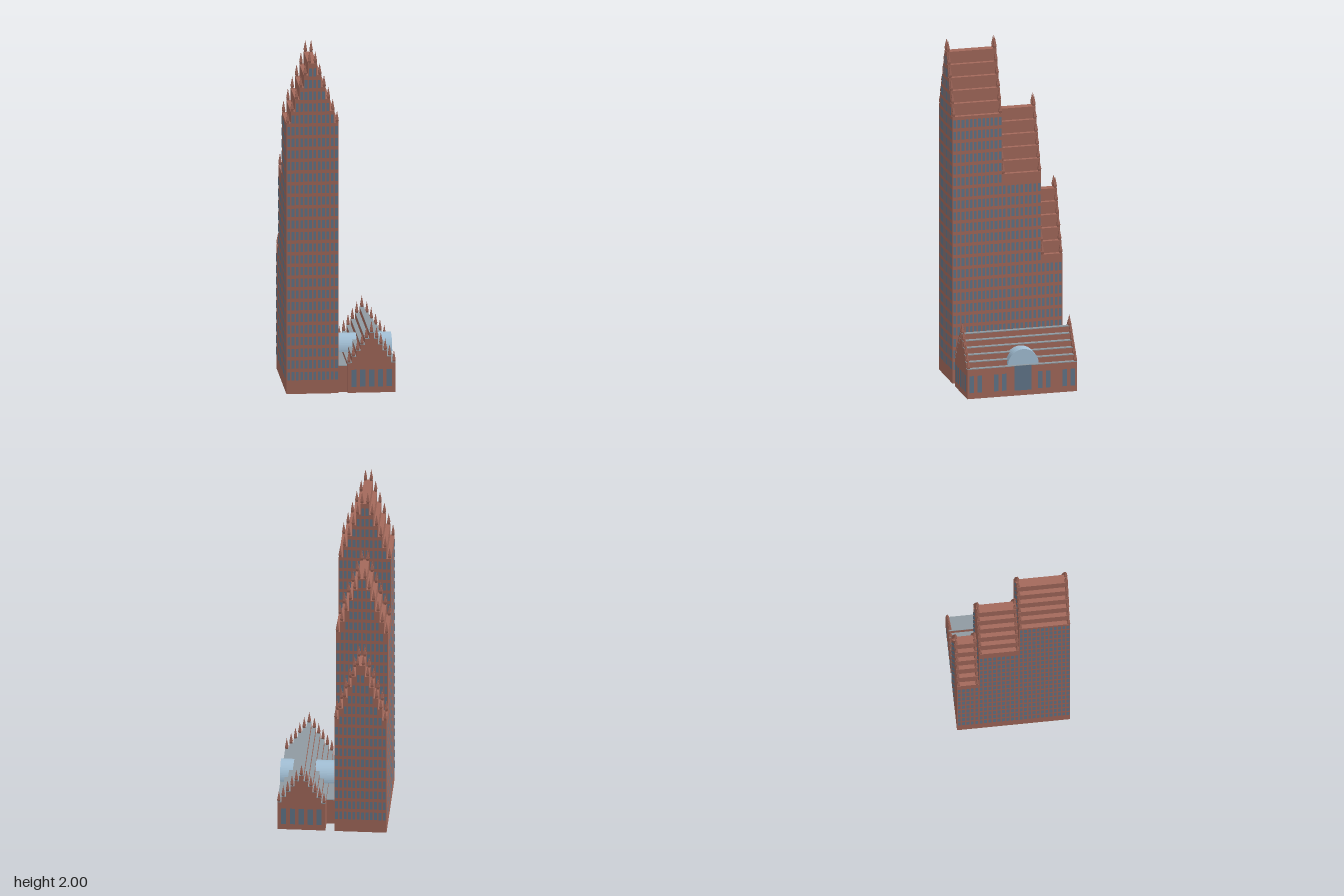
import * as THREE from 'three';
import { mergeGeometries } from 'three/addons/utils/BufferGeometryUtils.js';

const mat = (name, color) => Object.assign(new THREE.MeshStandardMaterial({ color, flatShading: true }), { name });

export function createModel() {
  const brick = mat('brick', 0xa3695b);
  const windowBlue = mat('window blue', 0x62778b);
  const slate = mat('slate roof', 0x8f9aa1);
  const glass = mat('vault glass', 0xa3c0d6);
  glass.side = THREE.DoubleSide;

  const model = new THREE.Group();
  model.name = 'steppedGableTower';
  const add = (parent, name, geometry, material) => {
    const mesh = new THREE.Mesh(geometry, material);
    mesh.name = name;
    parent.add(mesh);
    return mesh;
  };
  const STEPS = 6;

  // Box-like body whose top climbs in steps towards the ridge
  function steppedBody({ cx, half, run, eave, rise, z0, z1 }) {
    const right = [];
    for (let i = 0; i < STEPS; i++) {
      const w = half - run * i;
      right.push([w, i ? eave + rise * (i - 1) : 0], [w, eave + rise * i]);
    }
    const left = right.map(([x, y]) => [-x, y]).reverse();
    const shape = new THREE.Shape([...right, ...left].map(([x, y]) => new THREE.Vector2(x, y)));
    const geo = new THREE.ExtrudeGeometry(shape, { depth: z1 - z0, bevelEnabled: false });
    return geo.translate(cx, 0, z0);
  }

  // Pointed pinnacles on every step at both gable ends
  function pinnacles({ cx, half, run, eave, rise, z0, z1 }) {
    const r = 0.0092 * Math.SQRT2, parts = [];
    for (const z of [z0 + 0.0085, z1 - 0.0085])
      for (let i = 0; i < STEPS; i++) {
        const off = half - run * i - 0.0085;
        const single = off < 0.008;
        for (const s of single ? [0] : [-1, 1]) {
          const y = eave + rise * i;
          const spike = new THREE.CylinderGeometry(0, r, 0.055, 4, 1, true).rotateY(Math.PI / 4);
          const corbel = new THREE.CylinderGeometry(r, 0, 0.05, 4, 1, true).rotateY(Math.PI / 4);
          parts.push(spike.translate(cx + s * off, y + 0.0425, z), corbel.translate(cx + s * off, y - 0.01, z));
        }
      }
    return mergeGeometries(parts);
  }

  // One flat pane; side is the wall it faces out from
  function pane(side, along, y, wall, w, h) {
    const g = new THREE.PlaneGeometry(w, h);
    if (side === 'front') return g.translate(along, y, wall + 0.002);
    if (side === 'back') return g.rotateY(Math.PI).translate(along, y, wall - 0.002);
    if (side === 'left') return g.rotateY(Math.PI / 2).translate(wall + 0.002, y, along);
    return g.rotateY(-Math.PI / 2).translate(wall - 0.002, y, along);
  }

  // Tower: three sections falling in height towards the back
  const tower = new THREE.Group();
  tower.name = 'tower';
  model.add(tower);
  const base = { cx: -0.163, half: 0.149, run: 0.0248, rise: 0.07 };
  const sections = [
    { ...base, name: 'front', eave: 1.58, z0: 0.031, z1: 0.323, cols: 12, frontFrom: 0, backFrom: 1.2 },
    { ...base, name: 'middle', eave: 1.22, z0: -0.199, z1: 0.031, cols: 9, frontFrom: 9, backFrom: 0.7 },
    { ...base, name: 'rear', eave: 0.725, z0: -0.324, z1: -0.199, cols: 5, frontFrom: 9, backFrom: 0 },
  ];
  const FLOOR = 0.0682, PANE_H = 0.048, PANE_W = 0.0155;
  for (const s of sections) {
    add(tower, s.name + 'Section', steppedBody(s), brick);
    add(tower, s.name + 'Pinnacles', pinnacles(s), brick);
    const panes = [];
    for (let k = 0; k < 28; k++) {
      const y = 0.08 + k * FLOOR + PANE_H / 2, top = y + PANE_H / 2;
      // Gable ends: columns rise to their own step
      for (let c = 0; c < 12; c++) {
        const step = Math.min(c, 11 - c);
        if (top > s.eave + s.rise * step - 0.006) continue;
        const x = s.cx + (c - 5.5) * s.run;
        if (y > s.frontFrom) panes.push(pane('front', x, y, s.z1, PANE_W, PANE_H));
        if (y > s.backFrom) panes.push(pane('back', x, y, s.z0, PANE_W, PANE_H));
      }
      // Long walls
      if (top > s.eave - 0.006) continue;
      const pitch = (s.z1 - s.z0) / s.cols;
      for (let c = 0; c < s.cols; c++) {
        const z = s.z0 + (c + 0.5) * pitch;
        panes.push(pane('left', z, y, s.cx + s.half, PANE_W, PANE_H));
        panes.push(pane('right', z, y, s.cx - s.half, PANE_W, PANE_H));
      }
    }
    add(tower, s.name + 'Windows', mergeGeometries(panes), windowBlue);
  }

  // Low hall beside the tower
  const hall = new THREE.Group();
  hall.name = 'hall';
  model.add(hall);
  const h = { cx: 0.174, half: 0.137, run: 0.0249, eave: 0.173, rise: 0.035, z0: -0.323, z1: 0.323 };
  add(hall, 'hallBody', steppedBody(h), brick);
  add(hall, 'hallPinnacles', pinnacles(h), brick);

  // Slate treads on the hall roof
  const treads = [];
  for (let i = 0; i < STEPS; i++) {
    const off = h.half - h.run * (i + 0.5);
    for (const s of i === STEPS - 1 ? [0] : [-1, 1])
      treads.push(new THREE.BoxGeometry(h.run, 0.004, h.z1 - h.z0)
        .translate(h.cx + s * off, h.eave + h.rise * i + 0.002, 0));
  }
  add(hall, 'hallRoofTreads', mergeGeometries(treads), slate);

  // Hall windows and the entrance under the vault
  const hallPanes = [];
  for (let i = -2; i <= 2; i++) {
    hallPanes.push(pane('front', h.cx + i * 0.0505, 0.085, h.z1, 0.03, 0.1));
    hallPanes.push(pane('back', h.cx + i * 0.0505, 0.085, h.z0, 0.03, 0.1));
  }
  for (const z of [0.105, 0.152, 0.25, 0.298])
    for (const s of [-1, 1]) hallPanes.push(pane('left', s * z, 0.085, h.cx + h.half, 0.027, 0.1));
  add(hall, 'hallWindows', mergeGeometries(hallPanes), windowBlue);
  add(hall, 'entrance', pane('left', -0.005, 0.103, h.cx + h.half, 0.1, 0.146), windowBlue);

  // Link building between tower and hall
  add(model, 'link', new THREE.BoxGeometry(0.053, 0.151, 0.532).translate(0.0115, 0.0755, 0.029), brick);
  add(model, 'linkRoof', new THREE.BoxGeometry(0.051, 0.004, 0.532).translate(0.0115, 0.153, 0.029), slate);

  // Glazed barrel vault crossing the hall
  const arch = new THREE.Shape();
  arch.absarc(0, 0, 0.09, 0, Math.PI, false);
  arch.closePath();
  const vault = new THREE.ExtrudeGeometry(arch, { depth: 0.327, bevelEnabled: false, curveSegments: 14 });
  add(model, 'barrelVault', vault.rotateY(Math.PI / 2).translate(-0.014, 0.183, -0.007), glass);

  return model;
}
